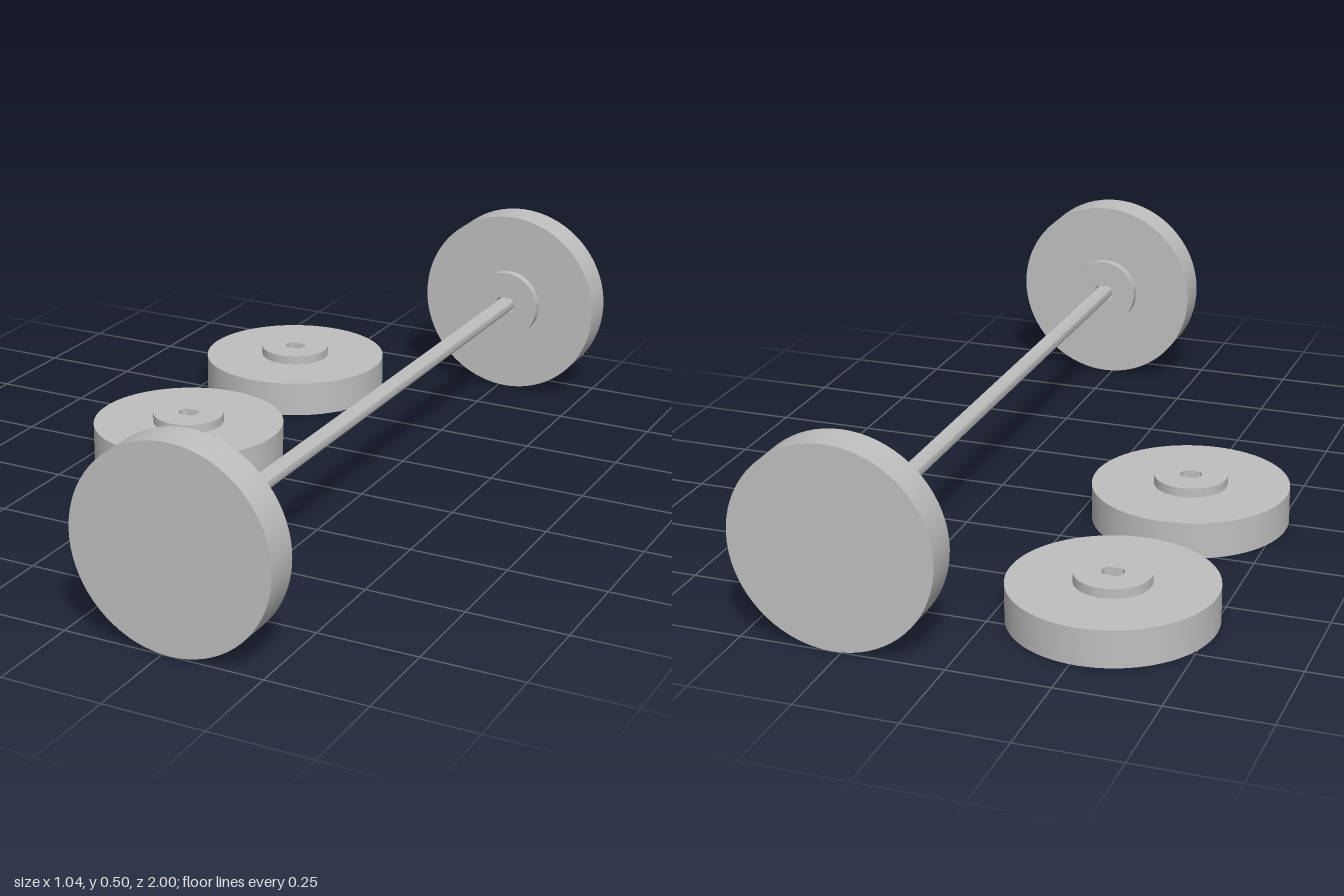
import * as THREE from 'three';
import { toCreasedNormals } from 'three/addons/utils/BufferGeometryUtils.js';

const RADIUS = 0.25, HUB_RADIUS = 0.093, RIM_TOP = 0.093, HUB_TOP = 0.117, SLOT_FLOOR = 0.045;

// Round outline with two flats, above and below
function doubleD(radius, flat) {
  const a = Math.asin(flat / radius), points = [], n = 12;
  for (const start of [-a, Math.PI - a]) {
    for (let i = 0; i <= n; i++) {
      const t = start + (2 * a * i) / n;
      points.push(new THREE.Vector2(radius * Math.cos(t), radius * Math.sin(t)));
    }
  }
  return points;
}

// Inward-facing wall of the slot
function slotWall(points, bottom, top) {
  const pos = [];
  points.forEach((a, i) => {
    const b = points[(i + 1) % points.length];
    pos.push(b.x, bottom, -b.y, a.x, bottom, -a.y, a.x, top, -a.y);
    pos.push(b.x, bottom, -b.y, a.x, top, -a.y, b.x, top, -b.y);
  });
  const geo = new THREE.BufferGeometry();
  geo.setAttribute('position', new THREE.Float32BufferAttribute(pos, 3));
  geo.computeVertexNormals();
  return toCreasedNormals(geo, 0.5);
}

export function createModel() {
  const model = new THREE.Group();
  model.name = 'wheelsAndAxle';
  const grey = new THREE.MeshStandardMaterial({ color: 0xbfbfbf });
  grey.name = 'plain grey';

  const add = (parent, name, geo) => {
    const mesh = new THREE.Mesh(geo, grey);
    mesh.name = name;
    parent.add(mesh);
    return mesh;
  };

  // Wheel surfaces, shared by all four wheels
  const profile = [[0, 0], [RADIUS, 0], [RADIUS, RIM_TOP], [HUB_RADIUS, RIM_TOP], [HUB_RADIUS, HUB_TOP]];
  const discGeo = toCreasedNormals(
    new THREE.LatheGeometry(profile.map(([r, y]) => new THREE.Vector2(r, y)), 72), 0.5);
  const slot = doubleD(0.027, 0.021);
  const hubShape = new THREE.Shape().absarc(0, 0, HUB_RADIUS, 0, Math.PI * 2);
  hubShape.holes.push(new THREE.Path(slot));
  const hubGeo = new THREE.ShapeGeometry(hubShape, 36).rotateX(-Math.PI / 2).translate(0, HUB_TOP, 0);
  const wallGeo = slotWall(slot, SLOT_FLOOR, HUB_TOP);
  const floorGeo = new THREE.ShapeGeometry(new THREE.Shape(slot))
    .rotateX(-Math.PI / 2).translate(0, SLOT_FLOOR, 0);

  // Two wheels lie flat, two stand on the axle with hubs facing inward
  const wheels = [
    ['looseWheelFront', -0.274, 0, -0.034, 0],
    ['looseWheelBack', -0.268, 0, -0.636, 0],
    ['axleWheelFront', 0.27, RADIUS, 1, -Math.PI / 2],
    ['axleWheelBack', 0.27, RADIUS, -1, Math.PI / 2],
  ];
  for (const [name, x, y, z, tilt] of wheels) {
    const wheel = new THREE.Group();
    wheel.name = name;
    add(wheel, 'wheelDisc', discGeo);
    add(wheel, 'hubFace', hubGeo);
    add(wheel, 'slotWall', wallGeo);
    add(wheel, 'slotFloor', floorGeo);
    wheel.position.set(x, y, z);
    wheel.rotation.x = tilt;
    model.add(wheel);
  }

  // Axle, seated in the slots of the standing wheels
  const length = 2 * (1 - SLOT_FLOOR);
  const axleGeo = new THREE.ExtrudeGeometry(new THREE.Shape(doubleD(0.022, 0.019)), {
    depth: length, bevelEnabled: false,
  }).translate(0, 0, -length / 2);
  add(model, 'axle', toCreasedNormals(axleGeo, 0.4)).position.set(0.27, RADIUS, 0);

  return model;
}
